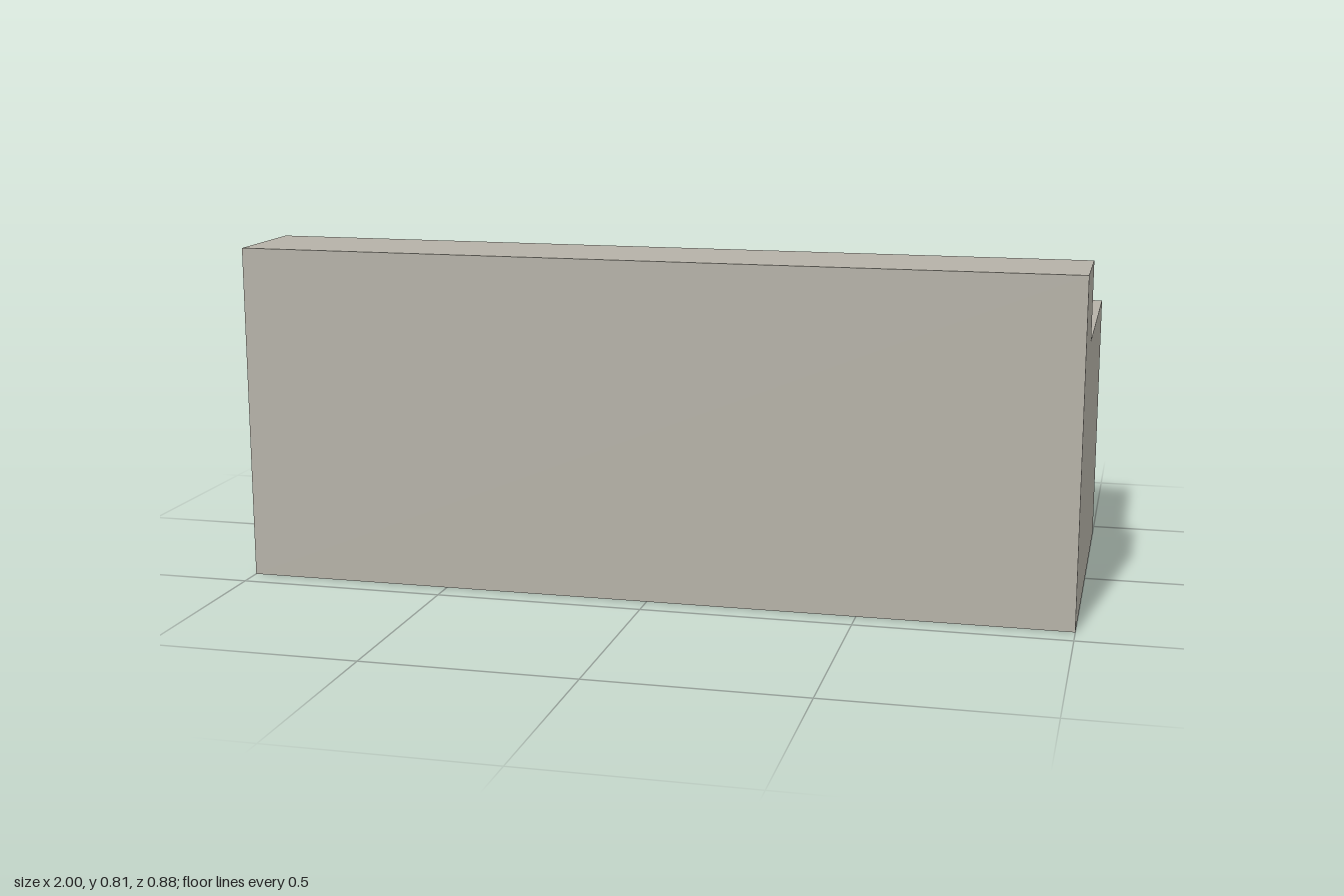
import * as THREE from 'three';

export function createModel() {
  const model = new THREE.Group();
  model.name = 'sofa';

  const material = (name, color) => {
    const m = new THREE.MeshStandardMaterial({ color });
    m.name = name;
    return m;
  };
  const fabric = material('warm grey fabric', 0xb5b1a7);
  const brown = material('dark brown', 0x675a56);
  const purple = material('purple', 0x9676b4);

  const add = (name, geometry, mat) => {
    const mesh = new THREE.Mesh(geometry, mat);
    mesh.name = name;
    model.add(mesh);
    return mesh;
  };
  // Box given by its minimum and maximum corners
  const box = (name, mat, [x0, y0, z0], [x1, y1, z1]) => {
    const g = new THREE.BoxGeometry(x1 - x0, y1 - y0, z1 - z0);
    g.translate((x0 + x1) / 2, (y0 + y1) / 2, (z0 + z1) / 2);
    return add(name, g, mat);
  };

  const back = 0.4375, inner = 0.1875, arm = 0.8125;
  const armTop = 0.625, seatBase = 0.375, seatTop = 0.4375;

  // Base and both armrests as one U-shaped body
  const profile = new THREE.Shape([
    [-1, 0], [1, 0], [1, armTop], [arm, armTop],
    [arm, seatBase], [-arm, seatBase], [-arm, armTop], [-1, armTop],
  ].map(([x, y]) => new THREE.Vector2(x, y)));
  const body = new THREE.ExtrudeGeometry(profile, { depth: inner + back, bevelEnabled: false });
  body.translate(0, 0, -back);
  add('baseAndArmrests', body, fabric);

  // Tall backrest on the +z side
  box('backrest', fabric, [-1, 0, inner], [1, 0.8125, back]);

  // Seat cushion, set back behind a narrow rim
  box('seatCushion', fabric, [-arm, seatBase, -0.375], [arm, seatTop, inner]);

  // Small middle pillow
  box('middlePillow', purple, [-0.125, seatTop, 0.0625], [0.125, 0.625, inner]);

  // Thin rounded square for the pillow patches
  const h = 0.0625, r = 0.018;
  const square = new THREE.Shape();
  square.moveTo(-h + r, -h);
  for (let i = 0; i < 4; i++) {
    const a = i * Math.PI / 2;
    const cx = (i === 0 || i === 1 ? 1 : -1) * (h - r);
    const cy = (i === 1 || i === 2 ? 1 : -1) * (h - r);
    square.absarc(cx, cy, r, a - Math.PI / 2, a, false);
  }
  const patchGeometry = new THREE.ExtrudeGeometry(square, { depth: 0.004, bevelEnabled: false, curveSegments: 4 });

  // Mirrored large pillows with a patch facing the seat
  for (const [side, s] of [['left', 1], ['right', -1]]) {
    const x = s * 0.5625;
    box(side + 'Pillow', brown, [x - 0.1875, seatTop, 0.0625], [x + 0.1875, 0.6875, inner]);
    add(side + 'PillowPatch', patchGeometry, purple).position.set(x, 0.5625, 0.0595);
  }

  return model;
}
